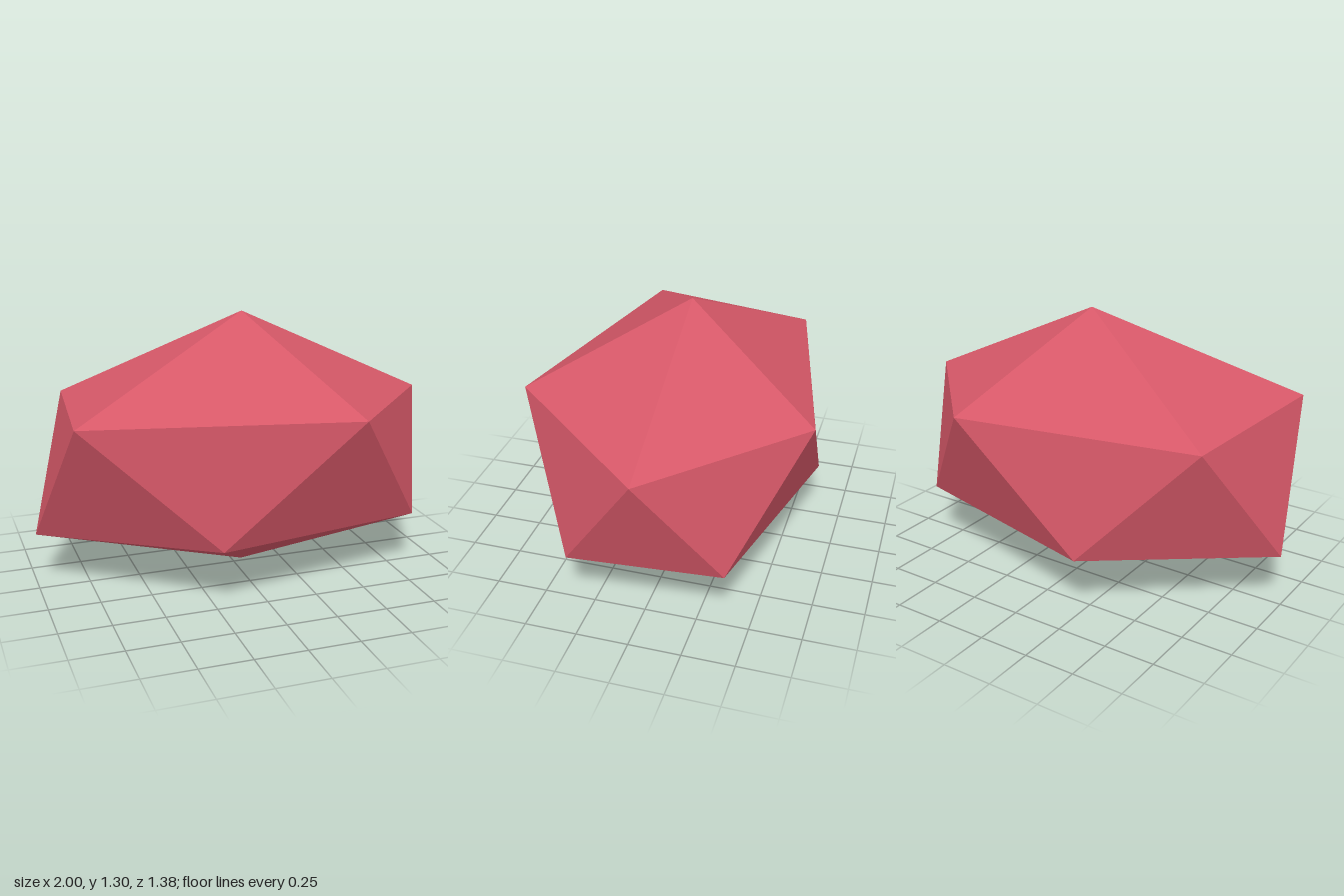
import * as THREE from 'three';

// Faceted stone: two poles joined by two staggered five-point rings
export function createModel() {
  const group = new THREE.Group();
  group.name = 'gemstone';

  const top = [0.05, 1.3, -0.03];
  const bottom = [0.05, 0, -0.03];
  const upper = [
    [1, 0.85, -0.03], [0.4, 0.905, 0.69], [-0.87, 0.905, 0.41],
    [-0.78, 0.87, -0.43], [0.37, 0.88, -0.69],
  ];
  // Each lower point sits between two upper neighbours
  const lower = [
    [0.83, 0.29, 0.35], [-0.235, 0.305, 0.555], [-1, 0.27, -0.03],
    [-0.25, 0.295, -0.63], [0.79, 0.305, -0.39],
  ];

  // Cap, two belt triangles and base for each fifth of the stone
  const positions = [];
  const face = (...corners) => corners.forEach((p) => positions.push(...p));
  for (let i = 0; i < 5; i++) {
    const j = (i + 1) % 5;
    face(top, upper[j], upper[i]);
    face(upper[i], upper[j], lower[i]);
    face(lower[i], upper[j], lower[j]);
    face(bottom, lower[i], lower[j]);
  }
  const geometry = new THREE.BufferGeometry();
  geometry.setAttribute('position', new THREE.Float32BufferAttribute(positions, 3));
  geometry.computeVertexNormals();

  const red = new THREE.MeshStandardMaterial({ color: 0xd65868 });
  red.name = 'rose red';
  red.flatShading = true;
  const stone = new THREE.Mesh(geometry, red);
  stone.name = 'stone';
  group.add(stone);
  return group;
}
